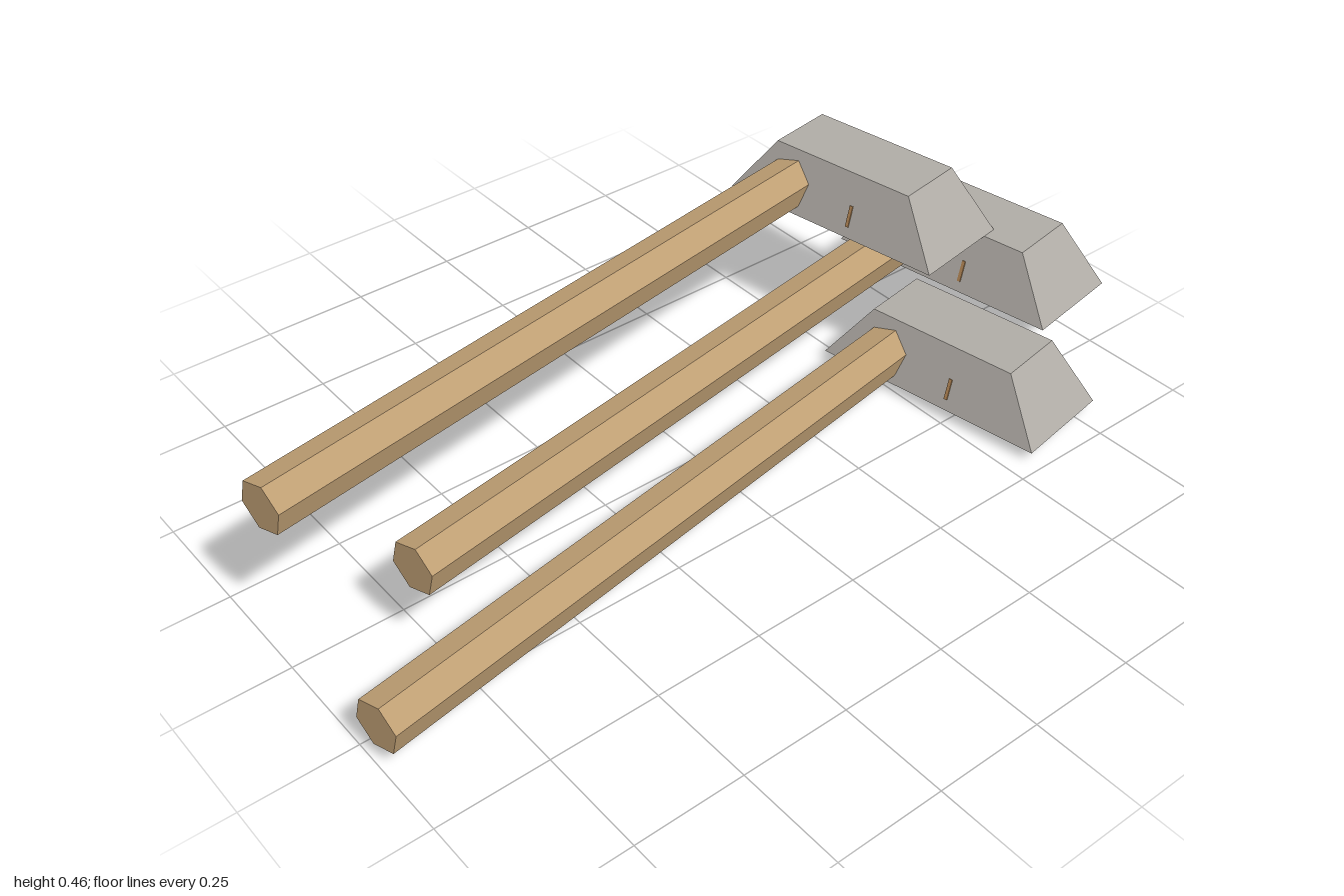
import * as THREE from 'three';

const mat = (name, color, extra = {}) => {
  const m = new THREE.MeshStandardMaterial({ color, flatShading: true, ...extra });
  m.name = name;
  return m;
};

const H = 0.1425, W = 0.25, L = 0.57;   // head height, width, length
const INSET_X = 0.043, INSET_Z = 0.1;   // how far the head narrows at the top
const R = 0.0585;                       // hexagonal bar radius
const TILT = Math.atan(INSET_X / H);

function part(name, geometry, material, x = 0, y = 0, z = 0) {
  const m = new THREE.Mesh(geometry, material);
  m.name = name;
  m.position.set(x, y, z);
  return m;
}

// Stone block with four sloping sides
function headGeometry() {
  const g = new THREE.BoxGeometry(W, H, L);
  const p = g.attributes.position;
  for (let i = 0; i < p.count; i++) {
    if (p.getY(i) > 0) {
      p.setX(i, p.getX(i) - Math.sign(p.getX(i)) * INSET_X);
      p.setZ(i, p.getZ(i) - Math.sign(p.getZ(i)) * INSET_Z);
    }
  }
  g.computeVertexNormals();
  return g.translate(0, H / 2, 0);
}

function extrude(points, depth) {
  const s = new THREE.Shape(points.map(([x, y]) => new THREE.Vector2(x, y)));
  return new THREE.ExtrudeGeometry(s, { depth, bevelEnabled: false });
}

function createHammer(mats) {
  const g = new THREE.Group();
  g.name = 'hammer';

  g.add(part('head', headGeometry(), mats.stone));

  // Long handle, set towards the back of the head
  const x0 = -1.618, x1 = 0.08;
  const handle = new THREE.CylinderGeometry(R, R, x1 - x0, 6)
    .rotateZ(-Math.PI / 2).rotateX(-Math.PI / 12);
  g.add(part('handle', handle, mats.wood, (x0 + x1) / 2, 0.062, -0.132));

  // Short bar along the head, showing as a ridge underneath
  const bar = new THREE.CylinderGeometry(R, R, 0.27, 6).rotateX(Math.PI / 2);
  g.add(part('wedgeBar', bar, mats.darkWood, 0, 0.0305, -0.035));

  // Splayed splinters where the handle comes through the head
  const splay = new THREE.Group();
  splay.name = 'splayedEnd';
  const leaves = extrude([
    [-0.055, 0.067], [-0.022, 0.076], [-0.005, 0.067], [0.015, 0.012],
    [0.022, 0.072], [0.05, 0.067], [0.022, 0.118], [-0.038, 0.118],
  ], 0.009).rotateY(Math.PI / 2);
  splay.add(part('splinters', leaves, mats.darkWood));
  const fin = extrude([[0, 0.014], [0.02, 0.1], [0.012, 0.118], [0, 0.118]], 0.006);
  splay.add(part('middleSplinter', fin, mats.darkWood, 0, 0, -0.018));
  splay.position.set(W / 2, 0, -0.119);
  splay.rotation.z = TILT;
  g.add(splay);

  // Sliver of wood on the handle side of the head
  const sliver = part('sliver', new THREE.BoxGeometry(0.006, 0.05, 0.008),
    mats.darkWood, -W / 2 + 0.0145, 0.048, 0.05);
  sliver.rotation.z = -TILT;
  g.add(sliver);
  return g;
}

export function createModel() {
  const model = new THREE.Group();
  model.name = 'hammerStack';
  const mats = {
    stone: mat('stone', 0xb0aca6),
    wood: mat('wood', 0xbf9f74),
    darkWood: mat('darkWood', 0xad8152),
  };
  // Three hammers, stacked from the front up towards the back
  [[0.628, 0.028, 0.172], [0.828, 0.1705, 0], [0.628, 0.313, -0.172]].forEach((pos) => {
    const hammer = createHammer(mats);
    hammer.position.set(...pos);
    hammer.rotation.y = 0.165;
    model.add(hammer);
  });
  return model;
}
